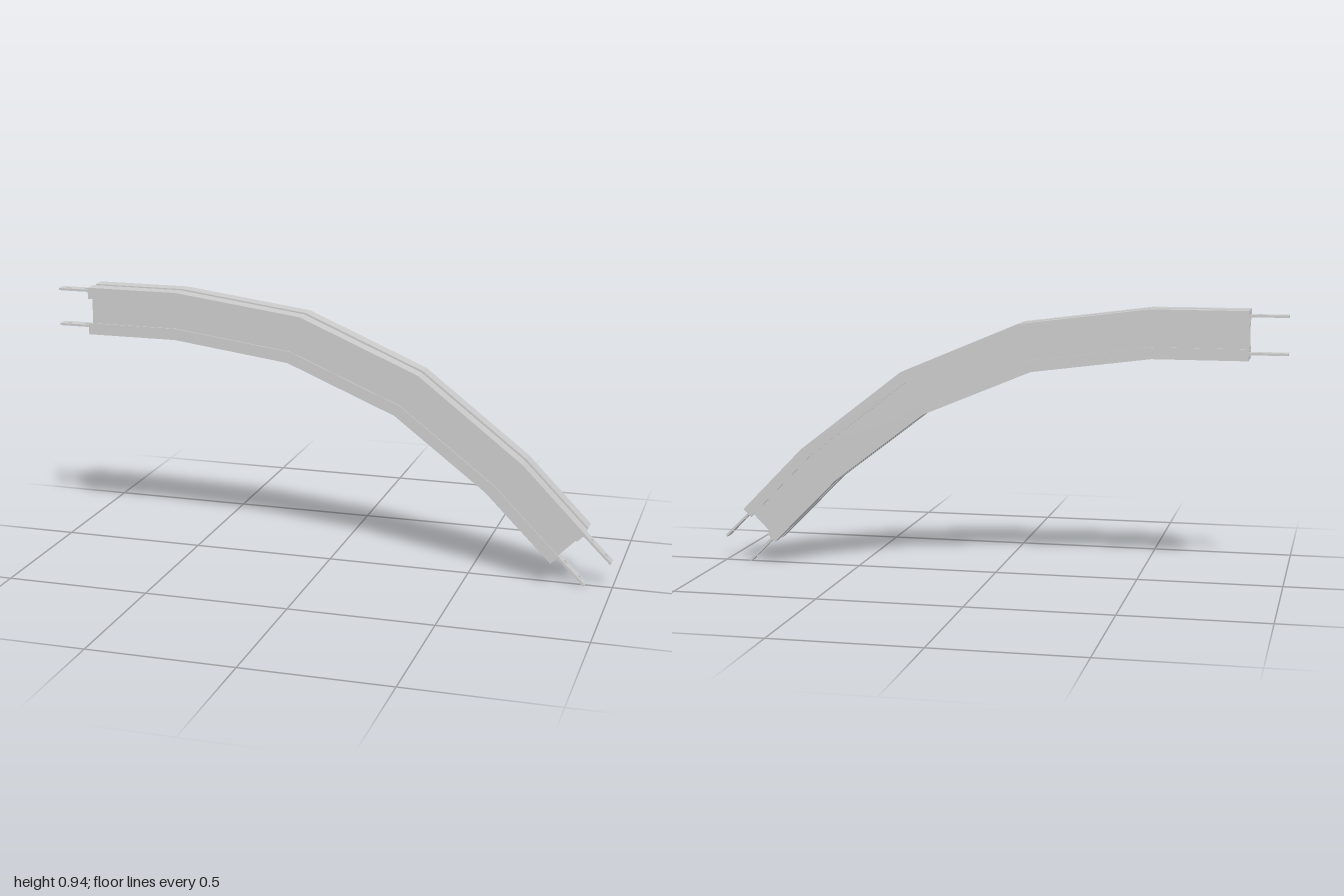
import * as THREE from 'three';

const DEPTH = 0.167;
// Mitred stations along the bend: outer and inner corner of the section
const OUTER = [[-0.87, 0.945], [-0.54, 0.945], [-0.09, 0.887], [0.325, 0.712], [0.69, 0.43], [0.91, 0.205]];
const INNER = [[-0.87, 0.778], [-0.547, 0.778], [-0.135, 0.724], [0.245, 0.566], [0.565, 0.322], [0.795, 0.09]];

// Point at depth d below the outer edge of station s
function at(s, z, d) {
  const t = d / DEPTH, o = OUTER[s], i = INNER[s];
  return [o[0] + (i[0] - o[0]) * t, o[1] + (i[1] - o[1]) * t, z];
}

// Sweep a closed (z, depth) section through all stations and cap both ends
function sweep(section) {
  const pts = section.map(([z, d]) => new THREE.Vector2(z, d));
  if (THREE.ShapeUtils.area(pts) < 0) pts.reverse();
  const pos = [], last = OUTER.length - 1, n = pts.length;
  const put = (s, p) => pos.push(...at(s, p.x, p.y));
  for (let s = 0; s < last; s++) {
    for (let k = 0; k < n; k++) {
      const a = pts[k], b = pts[(k + 1) % n];
      put(s, a); put(s, b); put(s + 1, b);
      put(s, a); put(s + 1, b); put(s + 1, a);
    }
  }
  for (const [a, b, c] of THREE.ShapeUtils.triangulateShape(pts, [])) {
    put(last, pts[a]); put(last, pts[b]); put(last, pts[c]);
    put(0, pts[c]); put(0, pts[b]); put(0, pts[a]);
  }
  const geo = new THREE.BufferGeometry();
  geo.setAttribute('position', new THREE.Float32BufferAttribute(pos, 3));
  geo.computeVertexNormals();
  return geo;
}

// Flat connecting strip with four bolt holes
function stripGeometry() {
  const l = 0.13, w = 0.019, t = 0.008;
  const shape = new THREE.Shape([[-l, -w], [l, -w], [l, w], [-l, w]].map(p => new THREE.Vector2(...p)));
  for (const x of [-0.102, -0.032, 0.032, 0.102]) {
    const hole = new THREE.Path();
    hole.absarc(x, 0, 0.007, 0, Math.PI * 2, true);
    shape.holes.push(hole);
  }
  const geo = new THREE.ExtrudeGeometry(shape, { depth: t, bevelEnabled: false, curveSegments: 12 });
  return geo.translate(0, 0, -t / 2).rotateX(-Math.PI / 2);
}

export function createModel() {
  const group = new THREE.Group();
  const mat = new THREE.MeshStandardMaterial({ color: 0xcccccc });
  const add = (name, geo) => {
    const mesh = new THREE.Mesh(geo, mat);
    mesh.name = name;
    group.add(mesh);
    return mesh;
  };

  // Two mirrored channels: web, flanges with lips, and slot necks
  const D = DEPTH, w = 0.004, lip = 0.04, neck = 0.015;
  const half = [
    [0.01, 0], [0.061, 0], [0.061, lip], [0.057, lip], [0.057, w], [0.024, w],
    [0.024, D - w], [0.057, D - w], [0.057, D - lip], [0.061, D - lip], [0.061, D], [0.01, D],
    [0.01, D - neck], [0.02, D - neck], [0.02, neck], [0.01, neck],
  ];
  add('leftChannel', sweep(half));
  add('rightChannel', sweep(half.map(([z, d]) => [-z, d])));

  // Floors of the upper and lower slots
  for (const [name, d] of [['upperSlotFloor', 0.025], ['lowerSlotFloor', D - 0.029]]) {
    add(name, sweep([[-0.02, d], [0.02, d], [0.02, d + w], [-0.02, d + w]]));
  }

  // Connecting strips half inserted in the slots at both ends
  const strip = stripGeometry();
  for (const [label, d] of [['upper', 0.02], ['lower', D - 0.02]]) {
    add(label + 'StartStrip', strip).position.set(...at(0, 0, d));
    const end = add(label + 'EndStrip', strip);
    end.position.set(...at(OUTER.length - 1, 0, d));
    end.rotation.z = -Math.PI / 4;
    end.translateX(0.007);
  }
  return group;
}
